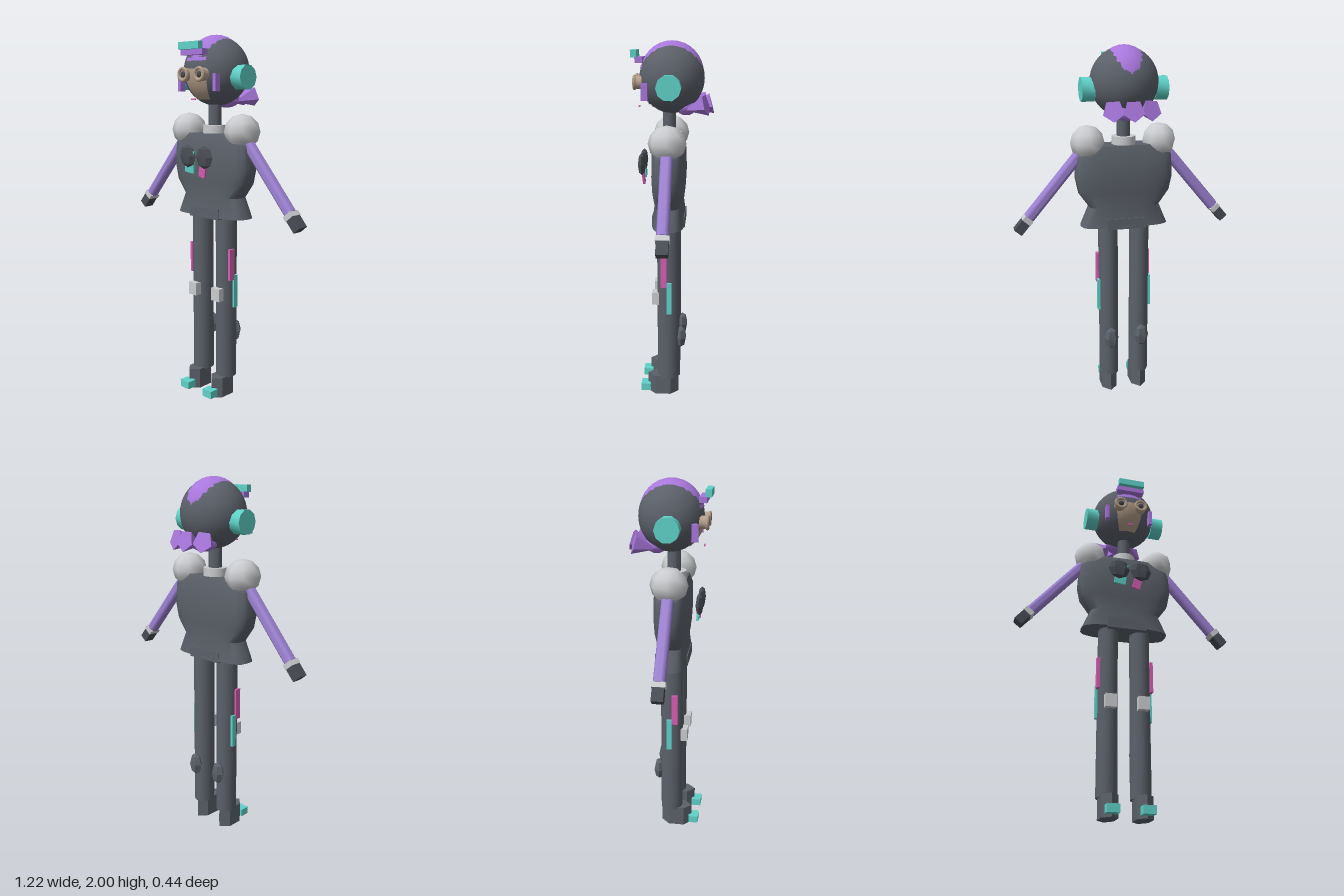
import * as THREE from 'three';
import { toCreasedNormals } from 'three/addons/utils/BufferGeometryUtils.js';

const material = (name, color, extra = {}) => {
  const m = new THREE.MeshStandardMaterial({ color, ...extra });
  m.name = name;
  return m;
};

export function createModel() {
  const root = new THREE.Group();
  root.name = 'robotFigure';
  const dark = material('slate', 0x5b6069);
  const purple = material('purple', 0xa877dc);
  const lilac = material('lilac', 0x9c82d2);
  const cyan = material('cyan', 0x5fd2c8);
  const white = material('paleGrey', 0xcbcccf);
  const pink = material('pink', 0xd65fb2);
  const skin = material('tan', 0xb59f8b);
  const black = material('charcoal', 0x484c54);

  const add = (name, geo, mat, x = 0, y = 0, z = 0, parent = root) => {
    const mesh = new THREE.Mesh(geo, mat);
    mesh.name = name;
    mesh.position.set(x, y, z);
    parent.add(mesh);
    return mesh;
  };
  const box = (w, h, d) => new THREE.BoxGeometry(w, h, d);
  const ball = (rx, ry, rz, ws = 24, hs = 16) => new THREE.SphereGeometry(1, ws, hs).scale(rx, ry, rz);
  const tube = (r, h, seg = 20) => toCreasedNormals(new THREE.CylinderGeometry(r, r, h, seg), 0.9);
  const Z = 0.02; // body axis depth

  // Torso: rounded-box rings, each [y, half width, half depth]
  const rings = [
    [1.03, 0.245, 0.09], [1.14, 0.198, 0.078], [1.22, 0.255, 0.088], [1.30, 0.272, 0.092],
    [1.42, 0.265, 0.09], [1.48, 0.215, 0.07],
  ];
  const N = 24, pos = [], idx = [];
  rings.forEach(([y, hx, hz]) => {
    for (let i = 0; i < N; i++) {
      const a = (i / N) * Math.PI * 2, c = Math.cos(a), s = Math.sin(a);
      pos.push(hx * Math.sign(c) * Math.abs(c) ** 0.6, y, hz * Math.sign(s) * Math.abs(s) ** 0.6);
    }
  });
  for (let r = 0; r < rings.length - 1; r++) {
    for (let i = 0; i < N; i++) {
      const a = r * N + i, b = r * N + (i + 1) % N;
      idx.push(a, a + N, b, b, a + N, b + N);
    }
  }
  const top = (rings.length - 1) * N;
  for (let i = 1; i < N - 1; i++) idx.push(0, i, i + 1, top, top + i + 1, top + i);
  const torso = new THREE.BufferGeometry();
  torso.setAttribute('position', new THREE.Float32BufferAttribute(pos, 3));
  torso.setIndex(idx);
  add('torso', toCreasedNormals(torso, 0.6), dark, 0, 0, Z);
  add('belt', box(0.22, 0.06, 0.178), dark, 0, 1.05, Z);

  // Neck and collar
  add('neck', tube(0.036, 0.2), dark, 0, 1.56, Z);
  add('collar', tube(0.065, 0.045), white, 0, 1.502, Z);

  // Head, hair cap, fringe and nape
  const HY = 1.81, HZ = 0.006;
  add('head', ball(0.183, 0.183, 0.172, 32, 20), dark, 0, HY, HZ);
  add('hairCap', ball(0.152, 0.17, 0.168), purple, 0, 1.83, HZ);
  add('napeHair', ball(0.09, 0.05, 0.06, 12, 8), purple, 0, 1.665, -0.07);
  const patch = (halfPhi, t0, t1, k) => new THREE.SphereGeometry(1, 12, 8, Math.PI / 2 - halfPhi, halfPhi * 2, t0, t1 - t0)
    .scale(0.183 * k, 0.183 * k, 0.172 * k);
  add('face', patch(0.43, 1.52, 2.5, 1.02), skin, 0, HY, HZ);
  add('fringe', patch(0.42, 1.2, 1.3, 1.015), purple, 0, HY, HZ);
  add('mouth', box(0.03, 0.008, 0.006), pink, 0, 1.662, 0.18);
  add('visorPlate', box(0.15, 0.038, 0.032), cyan, 0, 1.935, 0.202);
  add('visorMount', box(0.16, 0.03, 0.04), purple, 0, 1.903, 0.175);

  // Hair tufts: cones opening away from the nape
  for (const side of [-1, 0, 1]) {
    const cone = new THREE.ConeGeometry(0.058, 0.125, 5).rotateX(Math.PI / 2);
    const tuft = add('hairTuft', toCreasedNormals(cone, 0.4), purple,
      side * 0.085, 1.665, side ? -0.118 : -0.143);
    tuft.rotation.set(0.28, -side * 0.25, 0);
  }

  for (const s of [-1, 1]) {
    const side = new THREE.Group();
    side.name = s > 0 ? 'leftSide' : 'rightSide';
    root.add(side);
    const put = (name, geo, mat, x, y, z) => add(name, geo, mat, s * x, y, z, side);

    // Goggles, cheek guards and ear pods
    put('goggle', tube(0.034, 0.04, 16).rotateX(Math.PI / 2), skin, 0.06, 1.79, 0.178);
    put('goggleRim', new THREE.TorusGeometry(0.031, 0.009, 8, 20), skin, 0.06, 1.79, 0.198);
    put('goggleLens', ball(0.017, 0.017, 0.01, 12, 8), black, 0.06, 1.79, 0.198);
    put('cheekGuard', box(0.02, 0.09, 0.035), purple, 0.13, 1.748, 0.142);
    put('earPod', tube(0.065, 0.07, 10).rotateZ(Math.PI / 2), cyan, 0.198, 1.775, 0.012);

    // Shoulder and arm
    put('shoulder', ball(0.094, 0.094, 0.1, 8, 6), white, 0.2, 1.494, Z);
    const arm = new THREE.Group();
    arm.name = 'arm';
    arm.position.set(s * 0.23, 1.45, Z);
    arm.rotation.z = s * 0.705;
    side.add(arm);
    add('armTube', tube(0.032, 0.46), lilac, 0, -0.23, 0, arm);
    add('wristCuff', box(0.054, 0.028, 0.07), white, 0, -0.475, 0, arm);
    add('hand', box(0.05, 0.075, 0.06), black, 0, -0.523, 0, arm);

    // Chest pods with a tag below
    put('chestPod', toCreasedNormals(ball(0.062, 0.062, 0.022, 6, 4), 0.4), black, 0.063, 1.36, 0.165);
    const tag = put('chestTag', box(s > 0 ? 0.045 : 0.065, 0.12, 0.012), s > 0 ? pink : cyan,
      0.05, s > 0 ? 1.31 : 1.33, 0.16);
    tag.rotation.set(0.08, 0, s > 0 ? -0.25 : -0.12);

    // Leg with its plates
    put('leg', tube(0.055, 0.93, 24).scale(1, 1, 1.13), dark, 0.09, 0.572, 0.022);
    put('kneePad', box(0.06, 0.072, 0.04), white, 0.09, 0.598, 0.092);
    put('thighStrip', box(0.016, 0.175, 0.034), pink, 0.148, 0.768, 0.044);
    put('shinStrip', box(0.018, 0.185, 0.028), cyan, 0.147, 0.613, 0.014);
    put('calfGem', toCreasedNormals(ball(0.042, 0.066, 0.033, 6, 4), 0.4), dark, 0.09, 0.355, -0.05);

    // Shoe with toe cap
    const shoe = new THREE.CylinderGeometry(1, 1, 0.115, 6).scale(0.05, 1, 0.088);
    put('shoe', toCreasedNormals(shoe, 0.3), dark, 0.09, 0.0575, 0.0525);
    put('toeCap', box(0.066, 0.042, 0.055), cyan, 0.09, 0.035, 0.153);
  }
  return root;
}
